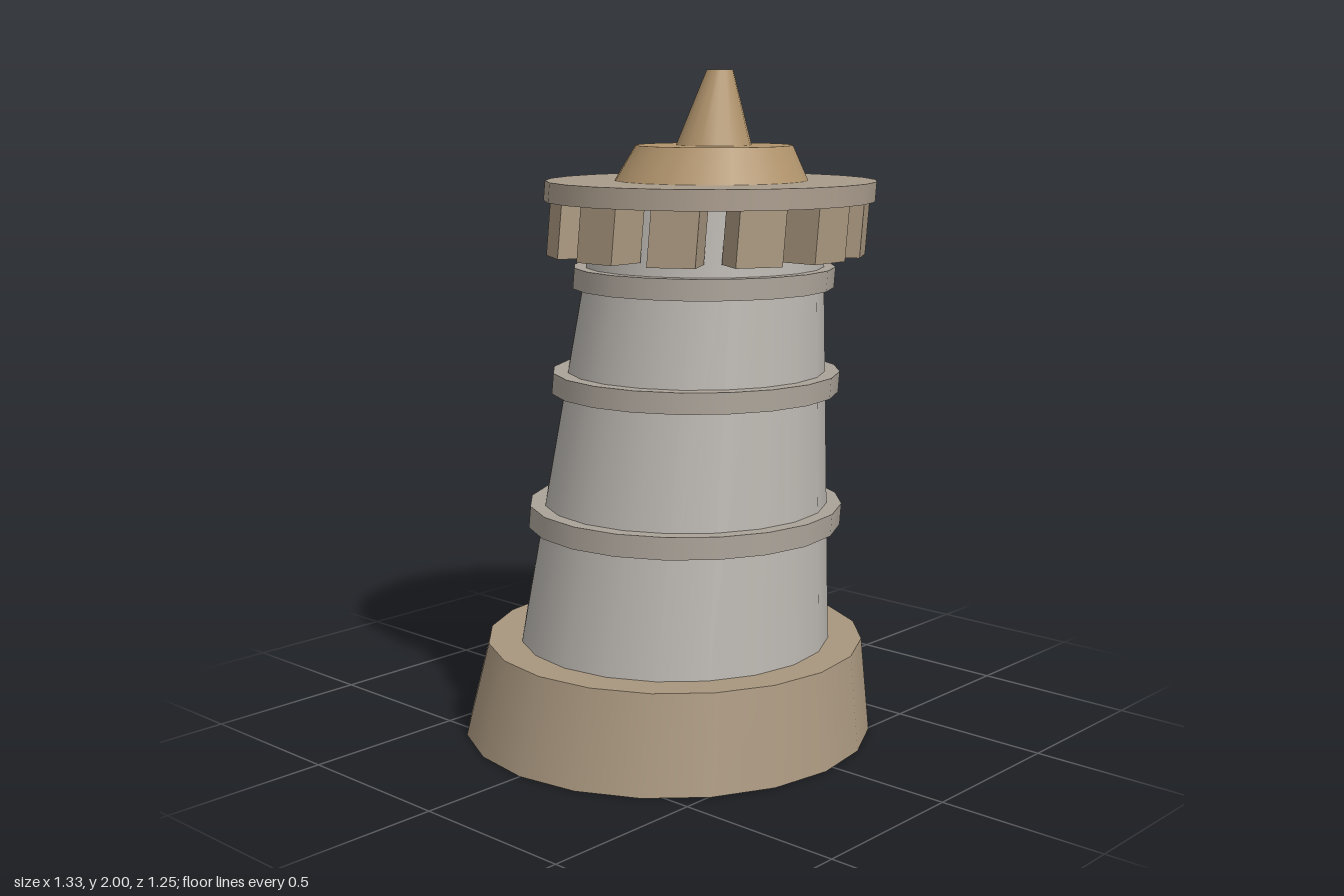
import * as THREE from 'three';

const LEAN = 0.118; // sideways drift of the axis per unit of height
const BASE_X = -0.04;

const stone = new THREE.MeshStandardMaterial({ color: 0xb8b4ae });
const trim = new THREE.MeshStandardMaterial({ color: 0xaaa298 });
const plinthStone = new THREE.MeshStandardMaterial({ color: 0xa8967e });
const deckStone = new THREE.MeshStandardMaterial({ color: 0xa89b8b });
const capStone = new THREE.MeshStandardMaterial({ color: 0xb0936c });

// Shear that makes the whole tower lean towards +x
const shear = new THREE.Matrix4().set(
  1, LEAN, 0, BASE_X,
  0, 1, 0, 0,
  0, 0, 1, 0,
  0, 0, 0, 1
);

function leaningMesh(name, geometry, material) {
  geometry.applyMatrix4(shear);
  const mesh = new THREE.Mesh(geometry, material);
  mesh.name = name;
  return mesh;
}

// Round tower section between two heights
function section(name, y0, y1, r0, r1, sides, material) {
  const geometry = new THREE.CylinderGeometry(r1, r0, y1 - y0, sides);
  geometry.translate(0, (y0 + y1) / 2, 0);
  return leaningMesh(name, geometry, material);
}

export function createModel() {
  const tower = new THREE.Group();
  tower.name = 'leaningTower';

  // Plinth and tapering shaft
  tower.add(section('plinth', 0, 0.28, 0.624, 0.577, 20, plinthStone));
  tower.add(section('shaft', 0.28, 1.61, 0.475, 0.345, 20, stone));

  // Ring bands around the shaft
  const bands = [[0.63, 0.695, 0.48], [1.035, 1.097, 0.44], [1.35, 1.412, 0.4]];
  for (const [y0, y1, r] of bands) {
    tower.add(section('band', y0, y1, r, r, 20, trim));
  }

  // Ring of support blocks under the deck
  const corbels = new THREE.Group();
  corbels.name = 'corbels';
  for (let i = 0; i < 12; i++) {
    const block = new THREE.BoxGeometry(0.14, 0.16, 0.12);
    block.translate(0, 1.53, 0.42).rotateY((i * Math.PI) / 6);
    corbels.add(leaningMesh('corbel', block, plinthStone));
  }
  tower.add(corbels);

  // Deck, cap and spire
  tower.add(section('deck', 1.61, 1.67, 0.504, 0.504, 24, deckStone));
  tower.add(section('cap', 1.67, 1.775, 0.295, 0.24, 20, capStone));
  tower.add(section('spire', 1.775, 2, 0.115, 0.04, 16, capStone));

  return tower;
}
